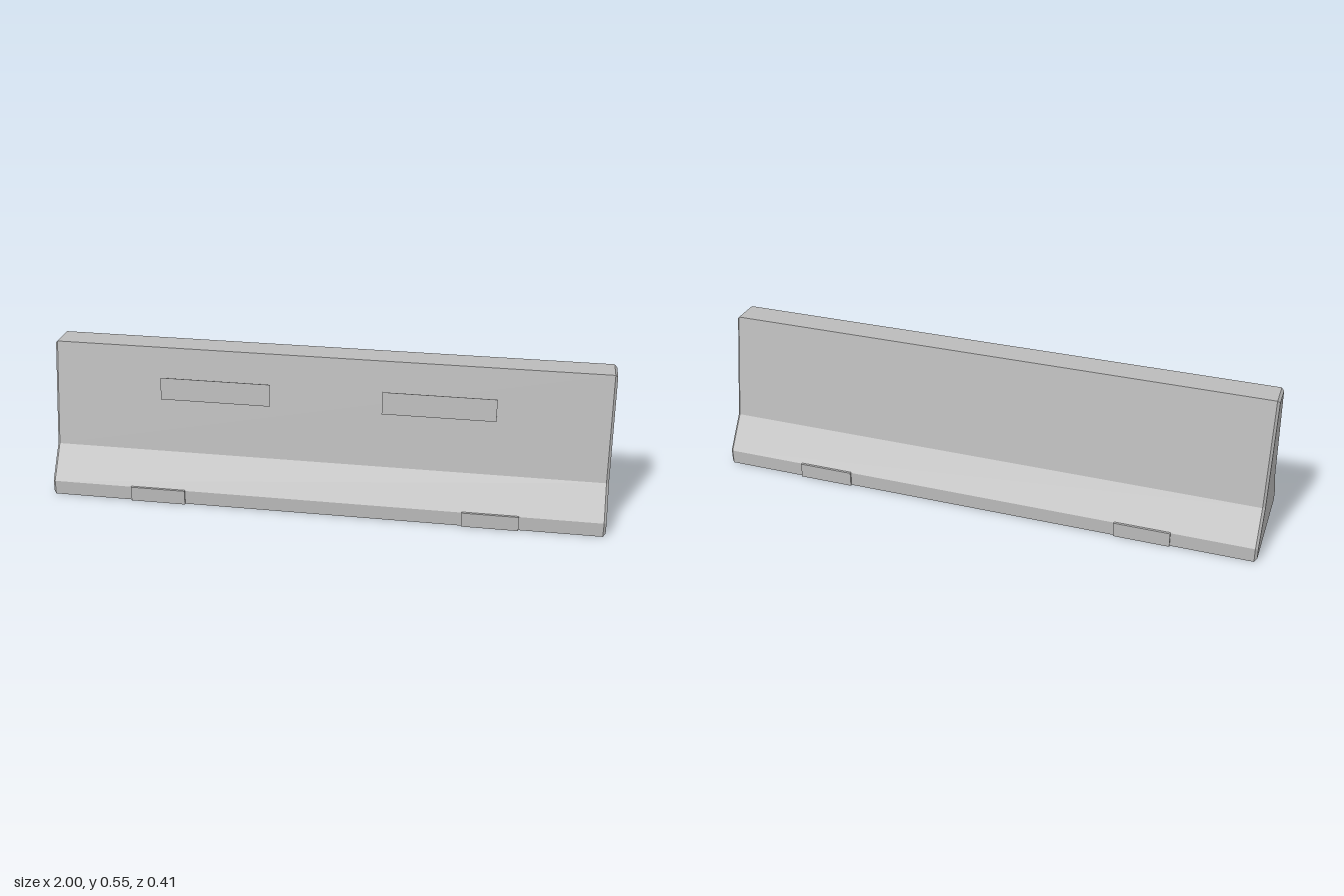
import * as THREE from 'three';

const concrete = new THREE.MeshStandardMaterial({ color: 0xbbbbbb });
concrete.name = 'concrete grey';

function addBox(group, name, size, position, tilt = 0) {
  const mesh = new THREE.Mesh(new THREE.BoxGeometry(...size), concrete);
  mesh.name = name;
  mesh.position.set(...position);
  mesh.rotation.x = tilt;
  group.add(mesh);
}

export function createModel() {
  const group = new THREE.Group();
  group.name = 'roadBarrier';

  // Barrier body: stepped profile run along x, with chamfered ends
  const half = [[0.2, 0], [0.2, 0.052], [0.12, 0.168], [0.05, 0.545]];
  const mirrored = half.map(([z, y]) => [-z, y]).reverse();
  const profile = new THREE.Shape([...half, ...mirrored].map(([z, y]) => new THREE.Vector2(z, y)));
  const chamfer = 0.009;
  const geometry = new THREE.ExtrudeGeometry(profile, {
    depth: 2 - 2 * chamfer,
    bevelThickness: chamfer,
    bevelSize: chamfer,
    bevelOffset: -chamfer,
    bevelSegments: 1,
  });
  geometry.translate(0, 0, -1 + chamfer);
  geometry.rotateY(Math.PI / 2);
  const body = new THREE.Mesh(geometry, concrete);
  body.name = 'barrierBody';
  group.add(body);

  for (const side of [-1, 1]) {
    const label = side > 0 ? 'left' : 'right';
    // Thin tilted panels standing just off the front face
    addBox(group, label + 'Panel', [0.4, 0.08, 0.002], [side * 0.4, 0.404, 0.095], -0.125);
    // Foot pads along the bottom edges, front and back
    addBox(group, label + 'FrontFoot', [0.2, 0.054, 0.014], [side * 0.6, 0.027, 0.2]);
    addBox(group, label + 'BackFoot', [0.2, 0.054, 0.014], [side * 0.6, 0.027, -0.2]);
  }
  return group;
}
